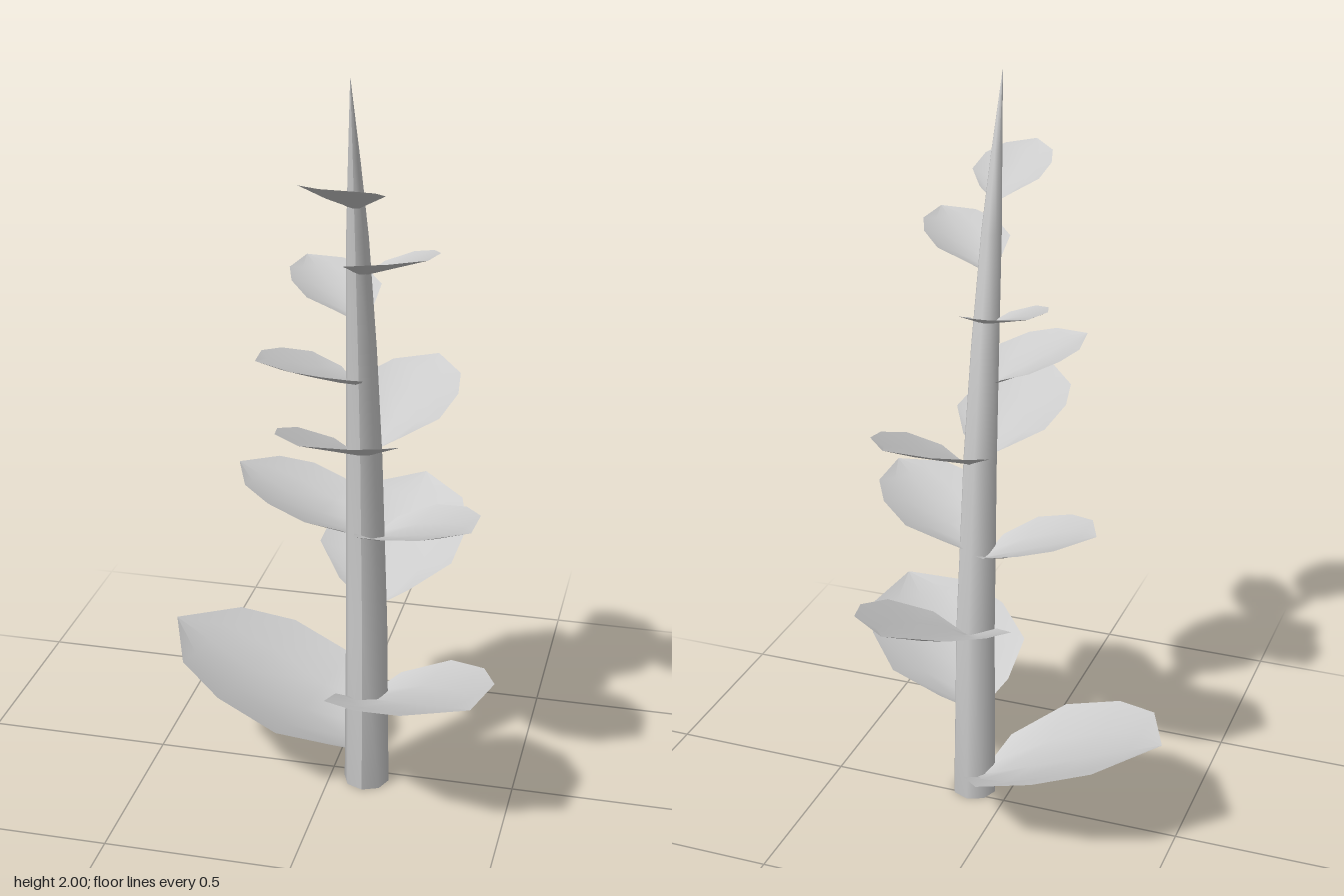
import * as THREE from 'three';

const material = new THREE.MeshStandardMaterial({ color: 0xcccccc, side: THREE.DoubleSide });

// Smooth surface through a grid of points: rows of equal length
function gridGeometry(rows) {
  const cols = rows[0].length, index = [];
  for (let i = 0; i < rows.length - 1; i++) {
    for (let j = 0; j < cols - 1; j++) {
      const a = i * cols + j, b = a + 1, c = a + cols, d = c + 1;
      index.push(a, b, c, b, d, c);
    }
  }
  const geometry = new THREE.BufferGeometry();
  geometry.setFromPoints(rows.flat());
  geometry.setIndex(index);
  geometry.computeVertexNormals();
  return geometry;
}

// Tapering eight-sided stem that leans further forward as it rises
function createStem() {
  const profile = [[0, 0.062], [0.5, 0.056], [1, 0.047], [1.3, 0.039], [1.6, 0.028], [1.8, 0.015], [2, 0.0005]];
  const curve = new THREE.LatheGeometry(
    [new THREE.Vector2(0, 0), ...profile.map(([y, r]) => new THREE.Vector2(r, y))], 8);
  const p = curve.attributes.position;
  for (let i = 0; i < p.count; i++) {
    const y = p.getY(i);
    p.setXYZ(i, p.getX(i) + 0.1, y, p.getZ(i) + 0.035 + 0.235 * (y / 2) ** 2);
  }
  curve.computeVertexNormals();
  const stem = new THREE.Mesh(curve, material);
  stem.name = 'stem';
  return stem;
}

// Leaf outline from base to tip: position along, half width, rim lift (all per unit length)
const outline = [
  [0, 0.02, 0], [0.09, 0.2, 0.085], [0.3, 0.385, 0.11],
  [0.59, 0.385, 0.08], [0.82, 0.28, 0.04], [1, 0.002, 0],
];

// Broad cupped leaf running from its base on the stem to its tip
function createLeaf(base, tip) {
  const start = new THREE.Vector3(...base);
  const along = new THREE.Vector3(...tip).sub(start);
  const length = along.length();
  const side = along.clone().cross(new THREE.Vector3(0, 1, 0)).normalize();
  const normal = side.clone().cross(along).normalize();
  const rows = outline.map(([u, w, lift]) => [-1, -0.5, 0, 0.5, 1].map((v) =>
    start.clone()
      .addScaledVector(along, u)
      .addScaledVector(side, v * w * length)
      .addScaledVector(normal, v * v * lift * length)));
  return new THREE.Mesh(gridGeometry(rows), material);
}

// Base and tip of each leaf, from the lowest up
const leaves = [
  [[0.07, 0.07, 0.0], [-0.48, 0.355, -0.11]],
  [[0.09, 0.255, 0.04], [0.435, 0.46, 0.38]],
  [[0.1, 0.515, 0.0], [0.165, 0.73, -0.435]],
  [[0.07, 0.74, 0.035], [-0.265, 0.89, -0.03]],
  [[0.11, 0.745, 0.05], [0.405, 0.885, 0.255]],
  [[0.1, 1.0, 0.11], [0.015, 1.155, 0.435]],
  [[0.12, 1.0, 0.05], [0.225, 1.155, -0.26]],
  [[0.09, 1.2, 0.13], [-0.125, 1.31, 0.305]],
  [[0.09, 1.37, 0.13], [-0.085, 1.47, -0.06]],
  [[0.11, 1.5, 0.17], [0.3, 1.605, 0.34]],
  [[0.1, 1.675, 0.21], [0.065, 1.785, 0.435]],
];

export function createModel() {
  const model = new THREE.Group();
  model.name = 'leafyPlant';
  model.add(createStem());
  leaves.forEach(([base, tip], i) => {
    const leaf = createLeaf(base, tip);
    leaf.name = `leaf${i + 1}`;
    model.add(leaf);
  });
  return model;
}
